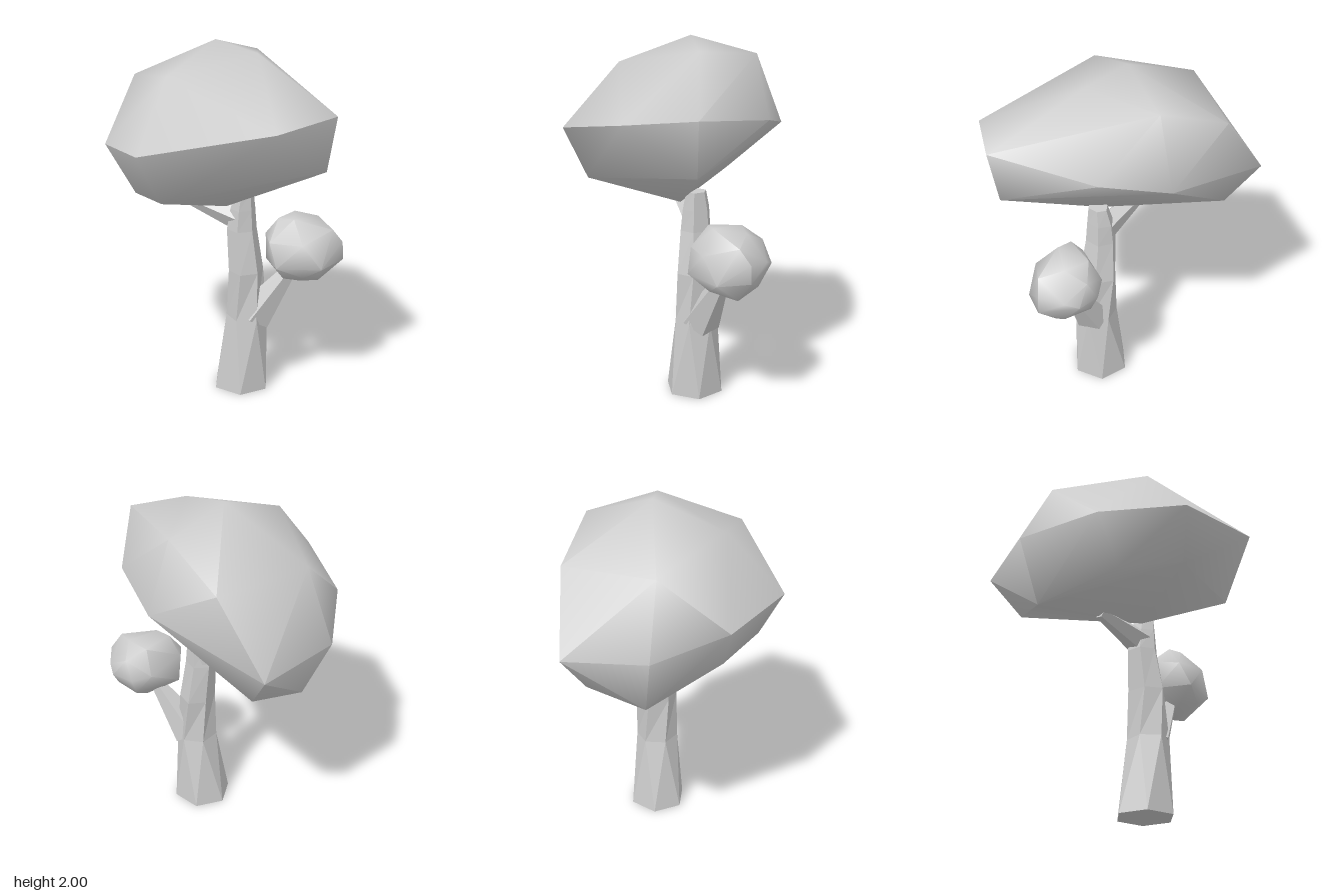
import * as THREE from 'three';
import { toCreasedNormals } from 'three/addons/utils/BufferGeometryUtils.js';
import { ConvexGeometry } from 'three/addons/geometries/ConvexGeometry.js';

const bark = new THREE.MeshStandardMaterial({ color: 0xcccccc, flatShading: true });
const leaves = new THREE.MeshStandardMaterial({ color: 0xcccccc });

// Faceted clump of leaves spanned by a few corner points, softly shaded
function foliage(name, points) {
  const hull = new ConvexGeometry(points.map((p) => new THREE.Vector3(...p)));
  const mesh = new THREE.Mesh(toCreasedNormals(hull, 1), leaves);
  mesh.name = name;
  return mesh;
}

// Tapered five-sided limb between two points
function branch(name, from, to, r0, r1) {
  const a = new THREE.Vector3(...from);
  const b = new THREE.Vector3(...to);
  const dir = b.clone().sub(a);
  const mesh = new THREE.Mesh(new THREE.CylinderGeometry(r1, r0, dir.length(), 5), bark);
  mesh.position.copy(a).add(b).multiplyScalar(0.5);
  mesh.quaternion.setFromUnitVectors(new THREE.Vector3(0, 1, 0), dir.normalize());
  mesh.name = name;
  return mesh;
}

// Six-sided trunk: each ring is [y, centre x, centre z, radius x, radius z, twist]
function makeTrunk() {
  const rings = [
    [0, 0.13, 0.012, 0.167, 0.165, 0.2],
    [0.44, 0.16, 0.015, 0.115, 0.12, -0.3],
    [0.72, 0.152, 0.01, 0.097, 0.118, -0.05],
    [0.96, 0.125, 0.005, 0.085, 0.09, -0.05],
    [1.08, 0.13, 0.005, 0.07, 0.08, -0.05],
    [1.18, 0.14, 0.01, 0.05, 0.06, -0.05],
  ];
  const last = rings.length - 1;
  const geo = new THREE.CylinderGeometry(1, 1, 1, 6, last);
  const pos = geo.attributes.position;
  const p = new THREE.Vector3();
  const up = new THREE.Vector3(0, 1, 0);
  for (let i = 0; i < pos.count; i++) {
    p.fromBufferAttribute(pos, i);
    const [y, cx, cz, rx, rz, twist] = rings[Math.round((p.y + 0.5) * last)];
    p.applyAxisAngle(up, twist);
    pos.setXYZ(i, cx + p.x * rx, y, cz + p.z * rz);
  }
  geo.computeVertexNormals();
  const mesh = new THREE.Mesh(geo, bark);
  mesh.name = 'trunk';
  return mesh;
}

export function createModel() {
  const tree = new THREE.Group();
  tree.name = 'tree';

  tree.add(makeTrunk());
  tree.add(branch('sideBranch', [0.2, 0.44, 0.01], [0.42, 0.76, -0.01], 0.11, 0.035));
  tree.add(branch('crownBranch', [0.12, 1.02, 0], [-0.2, 1.1, -0.04], 0.08, 0.035));

  // Large crown, from the top down
  tree.add(foliage('crown', [
    [-0.04, 2.0, -0.05], [0.21, 1.95, 0.03], [0.12, 1.9, -0.37], [-0.21, 1.857, 0.3],
    [-0.53, 1.77, -0.13], [-0.22, 1.75, -0.555],
    [0.68, 1.7, 0.28], [0.43, 1.66, 0.57], [0.46, 1.61, -0.25],
    [0.18, 1.52, -0.5], [-0.28, 1.51, 0.61], [-0.58, 1.46, 0.24],
    [-0.7, 1.4, -0.2], [0.63, 1.4, 0.26], [-0.5, 1.36, -0.615],
    [-0.18, 1.24, 0.51], [-0.41, 1.2, 0.25], [-0.38, 1.13, -0.47],
    [0.05, 1.1, 0.06], [-0.55, 1.056, -0.19],
  ]));

  // Small side clump
  tree.add(foliage('sideClump', [
    [0.34, 1.05, 0.04], [0.43, 1.055, 0.06], [0.54, 1.04, -0.08], [0.4, 1.04, -0.13],
    [0.64, 1.0, 0.02], [0.5, 0.98, -0.2], [0.265, 0.95, 0.02], [0.31, 0.93, 0.13],
    [0.5, 0.94, 0.16], [0.69, 0.92, -0.02], [0.63, 0.9, -0.15], [0.58, 0.87, -0.21],
    [0.45, 0.87, -0.23], [0.35, 0.9, -0.18], [0.695, 0.82, -0.02], [0.6, 0.8, 0.13],
    [0.36, 0.8, 0.175], [0.265, 0.79, 0], [0.45, 0.76, -0.18], [0.6, 0.76, -0.12],
    [0.5, 0.74, 0.12], [0.38, 0.71, 0.08], [0.56, 0.68, -0.02], [0.46, 0.66, -0.03],
  ]));

  return tree;
}
